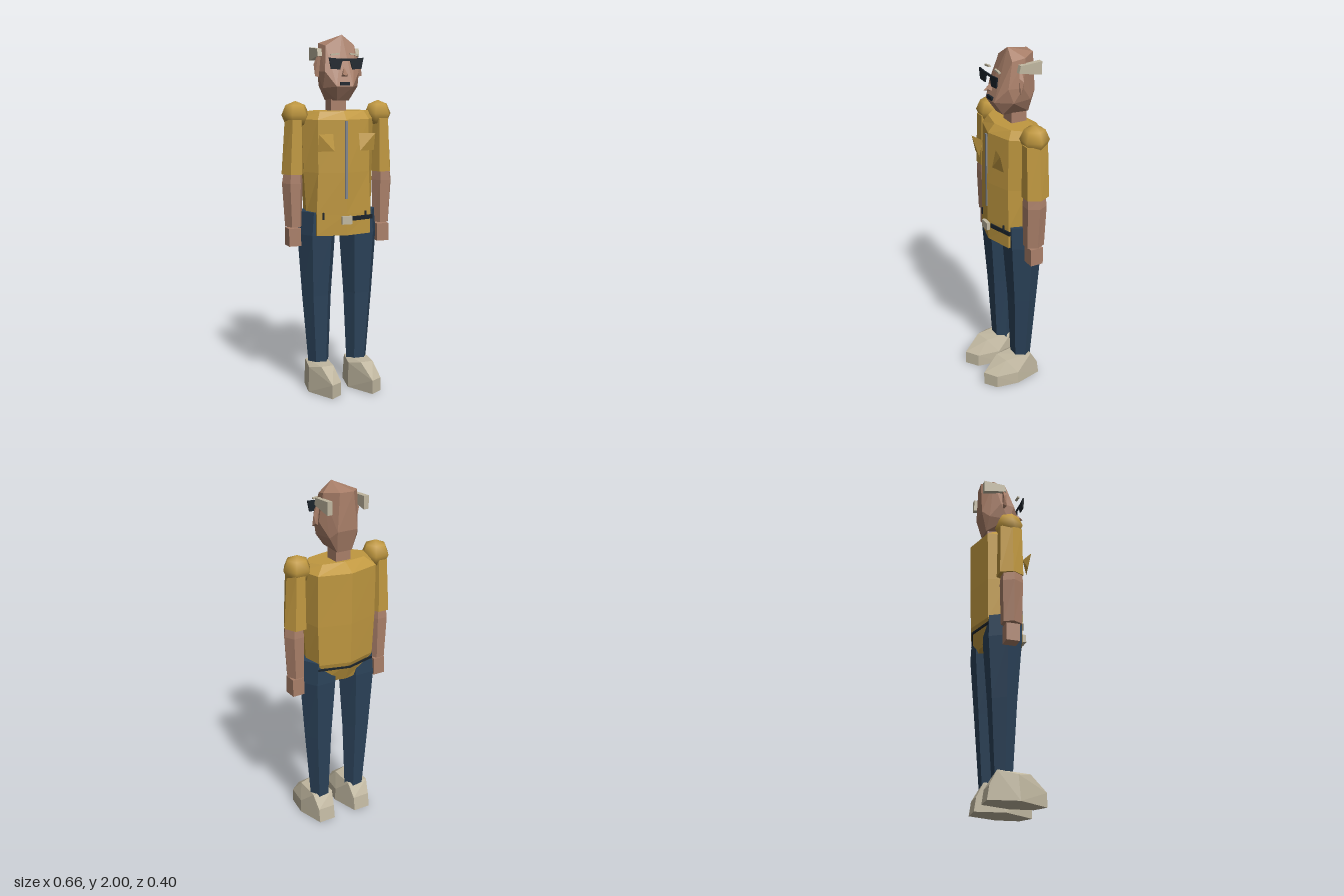
import * as THREE from 'three';
import { ConvexGeometry } from 'three/addons/geometries/ConvexGeometry.js';

const mat = (name, color, extra = {}) => {
  const m = new THREE.MeshStandardMaterial({ color, ...extra });
  m.name = name;
  return m;
};

// Closed skin over cross-sections { y, pts: [[x, z], ...] }, front first, turning towards +x
function loft(rings) {
  const n = rings[0].pts.length, pos = [], idx = [];
  for (const r of rings) for (const [x, z] of r.pts) pos.push(x, r.y, z);
  for (let k = 0; k < rings.length - 1; k++)
    for (let i = 0; i < n; i++) {
      const a = k * n + i, b = k * n + (i + 1) % n;
      idx.push(a, b, b + n, a, b + n, a + n);
    }
  const top = (rings.length - 1) * n;
  for (let i = 1; i < n - 1; i++) idx.push(0, i + 1, i, top, top + i, top + i + 1);
  const g = new THREE.BufferGeometry();
  g.setAttribute('position', new THREE.Float32BufferAttribute(pos, 3));
  g.setIndex(idx);
  const flat = g.toNonIndexed();
  flat.computeVertexNormals();
  return flat;
}

// Mirrored cross-section from its +x half
const mirrored = (y, half) => ({
  y, pts: [...half, ...half.slice().reverse().filter(p => p[0] !== 0).map(([x, z]) => [-x, z])],
});

// Oval cross-section fitted to given limits
function oval(y, x0, x1, z0, z1, n = 6, turn = 0) {
  const pts = [];
  const cx = (x0 + x1) / 2, cz = (z0 + z1) / 2;
  for (let i = 0; i < n; i++) {
    const a = turn + i / n * Math.PI * 2;
    pts.push([cx + Math.sin(a) * (x1 - x0) / 2, cz + Math.cos(a) * (z1 - z0) / 2]);
  }
  return { y, pts };
}

const rect = (y, x0, x1, z0, z1) => ({ y, pts: [[x0, z1], [x1, z1], [x1, z0], [x0, z0]] });
const hull = pts => new ConvexGeometry(pts.map(p => new THREE.Vector3(...p)));

export function createModel() {
  const model = new THREE.Group();
  model.name = 'standingFigure';
  const skin = mat('skin', 0xa97f69), shirt = mat('mustardShirt', 0xc09840);
  const denim = mat('denim', 0x2b4259), cream = mat('cream', 0xc0b7a0);
  const black = mat('black', 0x1b232b, { side: THREE.DoubleSide }), metal = mat('metal', 0x80858c);

  const add = (name, geo, m, x = 0, y = 0, z = 0) => {
    const mesh = new THREE.Mesh(geo, m);
    mesh.name = name;
    mesh.position.set(x, y, z);
    model.add(mesh);
    return mesh;
  };
  const box = (name, m, w, h, d, x, y, z) => add(name, new THREE.BoxGeometry(w, h, d), m, x, y, z);

  // Torso
  add('shirtBody', loft([
    mirrored(0.9, [[0, 0.102], [0.16, 0.06], [0.165, -0.03], [0.14, -0.11], [0, -0.14]]),
    mirrored(1.02, [[0, 0.106], [0.16, 0.06], [0.19, -0.03], [0.17, -0.14], [0, -0.19]]),
    mirrored(1.25, [[0, 0.11], [0.15, 0.06], [0.205, -0.03], [0.18, -0.145], [0, -0.197]]),
    mirrored(1.54, [[0, 0.1], [0.15, 0.055], [0.212, -0.03], [0.18, -0.15], [0, -0.2]]),
    mirrored(1.585, [[0, 0.06], [0.13, 0.03], [0.18, -0.03], [0.13, -0.11], [0, -0.13]]),
  ]), shirt);
  box('zipper', metal, 0.014, 0.43, 0.008, -0.004, 1.32, 0.109);

  // Belt with buckle
  box('beltBuckle', cream, 0.058, 0.045, 0.02, -0.003, 0.988, 0.115);
  box('beltFront', black, 0.15, 0.024, 0.008, 0.1, 0.993, 0.08).rotation.y = 0.28;
  for (const s of [-1, 1]) {
    box('beltLoop', black, 0.008, 0.04, 0.008, s * 0.125, 1.01, 0.073);
    box('beltBack', black, 0.18, 0.012, 0.008, s * 0.085, 0.99, -0.158).rotation.y = s * -0.26;
  }

  // Neck and head
  add('neck', loft([rect(1.55, -0.045, 0.045, -0.11, -0.02), rect(1.7, -0.045, 0.045, -0.11, -0.02)]), skin);
  add('head', hull([
    [0.015, 2, -0.01], [-0.035, 1.965, -0.152], [0.045, 1.965, -0.145],
    [-0.095, 1.955, -0.09], [0.1, 1.955, -0.07], [-0.08, 1.94, -0.01], [0.085, 1.94, 0],
    [-0.115, 1.8, -0.05], [0.115, 1.8, -0.05], [-0.1, 1.8, 0.035], [0.1, 1.8, 0.03],
    [-0.05, 1.72, 0.085], [0.045, 1.72, 0.085], [-0.1, 1.71, 0.0], [0.105, 1.72, 0.0],
    [-0.06, 1.76, -0.15], [0.06, 1.76, -0.15], [-0.085, 1.72, -0.11], [0.085, 1.72, -0.11],
    [-0.03, 1.642, 0.035], [0.04, 1.642, 0.03], [-0.045, 1.64, -0.12], [0.045, 1.64, -0.12],
  ]), skin);
  add('nose', hull([
    [-0.004, 1.825, 0.068], [-0.022, 1.775, 0.08], [0.012, 1.775, 0.08],
    [-0.02, 1.785, 0.1], [0.008, 1.785, 0.1], [-0.008, 1.778, 0.12],
  ]), skin);
  box('mouth', black, 0.055, 0.02, 0.012, -0.003, 1.735, 0.085);

  // Glasses with tapered lenses
  for (const s of [-1, 1]) {
    const lens = new THREE.Shape([[0.02, 1.868], [0.1, 1.875], [0.088, 1.815], [0.036, 1.812]]
      .map(([x, y]) => new THREE.Vector2(x * s, y)));
    add('lens', new THREE.ExtrudeGeometry(lens, { depth: 0.008, bevelEnabled: false }), black, 0, 0, 0.09);
    box('eyebrow', cream, 0.05, 0.009, 0.012, s * 0.055, 1.893, 0.07).rotation.z = s * -0.12;

    // Ears
    add('ear', hull([
      [s * 0.1, 1.93, -0.04], [s * 0.1, 1.77, -0.035], [s * 0.125, 1.86, -0.02],
      [s * 0.14, 1.84, -0.04], [s * 0.138, 1.775, -0.022], [s * 0.128, 1.79, -0.042],
    ]), skin);

    // Horns, widening towards the back
    const h = s * 0.11;
    add('horn', hull([-1, 1].flatMap(k => [
      [h + k * 0.013, 1.885, -0.02], [h + k * 0.013, 1.925, -0.03],
      [h + k * 0.015, 1.86, -0.155], [h + k * 0.015, 1.932, -0.155],
    ])), cream);

    // Chest pockets with one corner folded back
    add('pocket', hull([
      [s * 0.165, 1.465, 0.115], [s * 0.075, 1.465, 0.093],
      [s * 0.165, 1.37, 0.093], [s * 0.075, 1.37, 0.115],
    ]), shirt);

    // Arms
    add('shoulder', new THREE.SphereGeometry(0.08, 6, 4), shirt, s * 0.246, 1.565, -0.045)
      .scale.set(1, 0.95, 1);
    const side = (y, a, b, z0, z1, turn = Math.PI / 6) =>
      oval(y, Math.min(a * s, b * s), Math.max(a * s, b * s), z0, z1, 6, turn);
    add('upperArm', loft([
      side(1.24, 0.2, 0.328, -0.122, 0.032), side(1.54, 0.205, 0.308, -0.115, 0.03),
    ]), shirt);
    add('forearm', loft([
      side(0.948, 0.215, 0.312, -0.098, 0.022), side(1.19, 0.208, 0.328, -0.105, 0.028),
      side(1.24, 0.212, 0.32, -0.1, 0.025),
    ]), skin);
    box('hand', skin, 0.07, 0.1, 0.075, s * 0.265, 0.888, -0.04);

    // Legs
    add('leg', loft([
      side(0.13, 0.057, 0.175, -0.1, 0.012), side(0.55, 0.038, 0.212, -0.128, 0.035),
      side(0.9, 0.012, 0.238, -0.155, 0.064), side(1.03, 0.01, 0.228, -0.15, 0.066),
    ]), denim);

    // Shoes, both of the same shape
    add('shoe', hull([
      [0, 0, 0.2], [0, 0.078, 0.2], [0.07, 0, 0.15], [0.07, 0.075, 0.15],
      [-0.083, 0, 0.03], [-0.075, 0.14, 0.02], [-0.03, 0.16, 0.1], [0.05, 0.155, 0.08],
      [0.09, 0, 0.02], [0.088, 0.075, 0.02], [0.06, 0.16, -0.08], [-0.06, 0.16, -0.09],
      [0.05, 0, -0.14], [-0.05, 0, -0.14], [-0.05, 0.08, -0.128], [0.05, 0.08, -0.128],
    ]), cream, s * 0.12);
  }
  box('glassesBridge', black, 0.06, 0.012, 0.008, 0, 1.864, 0.094);
  return model;
}
